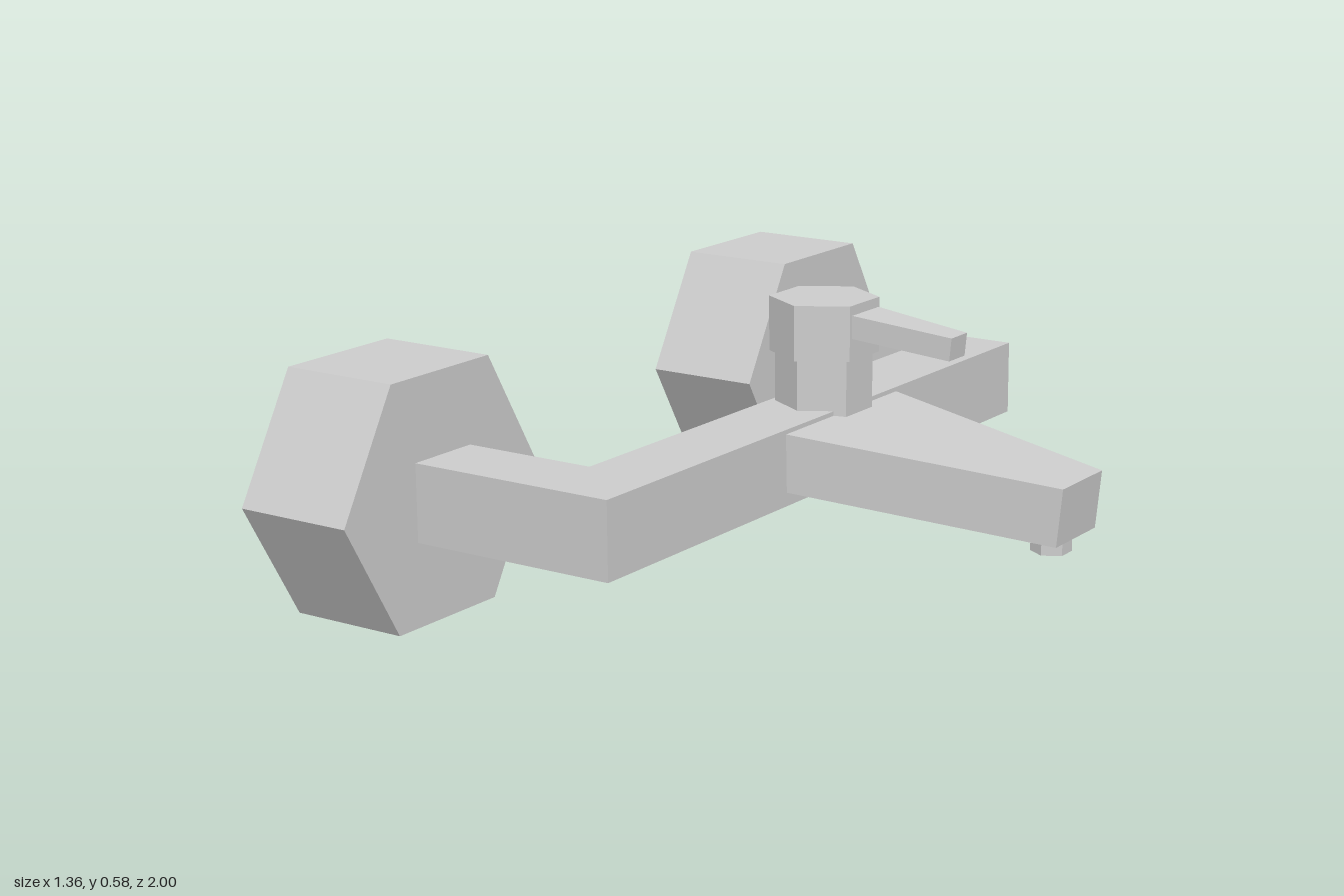
import * as THREE from 'three';

const material = new THREE.MeshStandardMaterial({ color: 0xcccccc, flatShading: true });

function add(group, name, geometry, x = 0, y = 0, z = 0) {
  const mesh = new THREE.Mesh(geometry, material);
  mesh.name = name;
  mesh.position.set(x, y, z);
  group.add(mesh);
  return mesh;
}

// Hexagonal prism with two corners pointing along z
const hex = (radius, height) => new THREE.CylinderGeometry(radius, radius, height, 6);

// Bar running from (x0, y0) to (x1, y1) whose width narrows along its length
function taperedBar(x0, y0, x1, y1, height, halfStart, halfEnd) {
  const length = Math.hypot(x1 - x0, y1 - y0);
  const geometry = new THREE.BoxGeometry(length, height, 2);
  const p = geometry.attributes.position;
  for (let i = 0; i < p.count; i++) {
    p.setZ(i, p.getZ(i) * (p.getX(i) < 0 ? halfStart : halfEnd));
  }
  geometry.rotateZ(Math.atan2(y1 - y0, x1 - x0));
  geometry.translate((x0 + x1) / 2, (y0 + y1) / 2, 0);
  geometry.computeVertexNormals();
  return geometry;
}

export function createModel() {
  const group = new THREE.Group();
  group.name = 'wallTap';

  // U-shaped pipe, drawn in plan and extruded upward
  const plan = new THREE.Shape([
    [-0.68, -0.785], [0.1, -0.785], [0.1, 0.785], [-0.68, 0.785],
    [-0.68, 0.615], [-0.07, 0.615], [-0.07, -0.615], [-0.68, -0.615],
  ].map(([x, z]) => new THREE.Vector2(x, z)));
  const pipe = new THREE.ExtrudeGeometry(plan, { depth: 0.166, bevelEnabled: false });
  pipe.rotateX(-Math.PI / 2);
  add(group, 'pipe', pipe, 0, 0.179, 0);

  // Hexagonal wall nuts around both pipe ends
  for (const side of [1, -1]) {
    const nut = hex(0.3, 0.27).rotateZ(Math.PI / 2);
    add(group, side > 0 ? 'frontNut' : 'backNut', nut, -0.51, 0.26, side * 0.7);
  }

  // Valve stem, cap and lever
  add(group, 'valveStem', hex(0.105, 0.13), 0.032, 0.395, -0.085);
  add(group, 'valveCap', hex(0.118, 0.12), 0.033, 0.516, -0.085);
  add(group, 'lever', taperedBar(0.12, 0.531, 0.363, 0.506, 0.05, 0.054, 0.032), 0, 0, -0.088);

  // Spout and its outlet
  add(group, 'spout', taperedBar(0.09, 0.273, 0.673, 0.213, 0.126, 0.221, 0.085), 0, 0, -0.055);
  add(group, 'outlet', hex(0.043, 0.045), 0.613, 0.1375, -0.05);

  return group;
}
